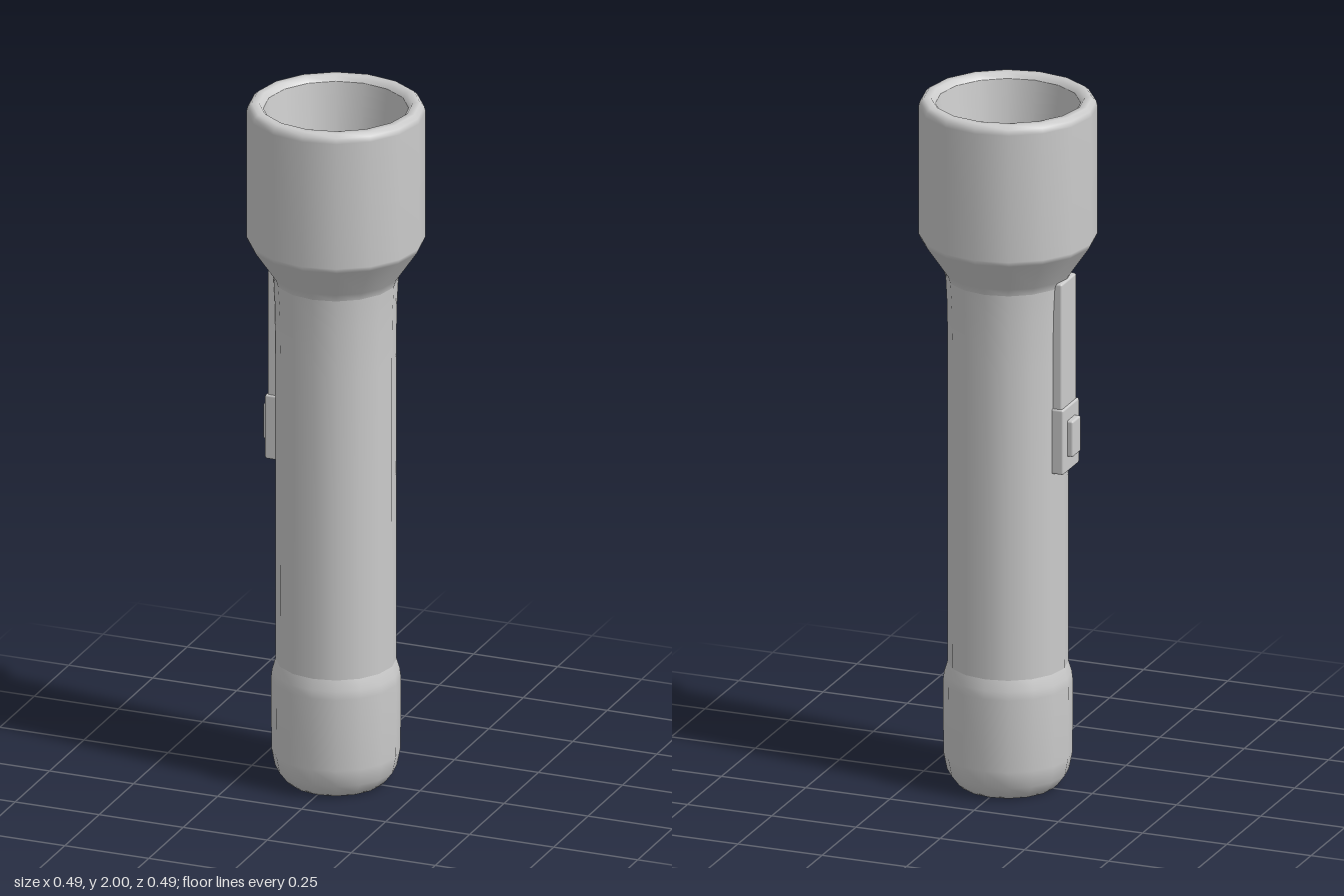
import * as THREE from 'three';
import { RoundedBoxGeometry } from 'three/addons/geometries/RoundedBoxGeometry.js';

const SIDES = 16;
const material = new THREE.MeshStandardMaterial({ color: 0xcccccc });

export function createModel() {
  const group = new THREE.Group();
  group.name = 'flashlight';

  const add = (name, geometry, x = 0, y = 0, z = 0) => {
    const mesh = new THREE.Mesh(geometry, material);
    mesh.name = name;
    mesh.position.set(x, y, z);
    group.add(mesh);
  };
  const lathe = (points) =>
    new THREE.LatheGeometry(points.map(([r, y]) => new THREE.Vector2(r, y)), SIDES);

  // Rounded tail cap, flat underneath
  add('tailCap', lathe([
    [0, 0], [0.135, 0], [0.147, 0.012], [0.168, 0.04], [0.178, 0.09],
    [0.179, 0.3], [0.176, 0.325], [0.167, 0.355],
  ]));

  // Slim grip, very slightly wider below the head
  add('handle', lathe([[0.167, 0.355], [0.166, 0.9], [0.166, 1.25], [0.168, 1.4], [0.172, 1.48]]));

  // Flared head with a bevelled rim
  add('head', lathe([
    [0.172, 1.48], [0.178, 1.5], [0.24, 1.59], [0.247, 1.605],
    [0.247, 1.975], [0.243, 1.99], [0.232, 2], [0.212, 2], [0.2, 1.985],
  ]));

  // Tapered reflector well, open at the top
  add('reflector', lathe([[0.2, 1.985], [0.19, 1.92], [0.15, 1.64]]));
  add('reflectorFloor', lathe([[0.15, 1.64], [0.1, 1.625], [0, 1.62]].map(([r, y]) => [r, y])));

  // Switch on the right side of the handle: [name, outer x, bottom, top, width]
  const switchParts = [
    ['switchTrack', -0.182, 1.12, 1.495, 0.11],
    ['switchPlate', -0.188, 0.94, 1.13, 0.12],
    ['switchButton', -0.205, 0.985, 1.09, 0.06],
  ];
  for (const [name, outer, bottom, top, width] of switchParts) {
    const depth = -0.145 - outer;
    add(name, new RoundedBoxGeometry(depth, top - bottom, width, 2, 0.006),
      outer + depth / 2, (top + bottom) / 2, 0);
  }

  return group;
}
